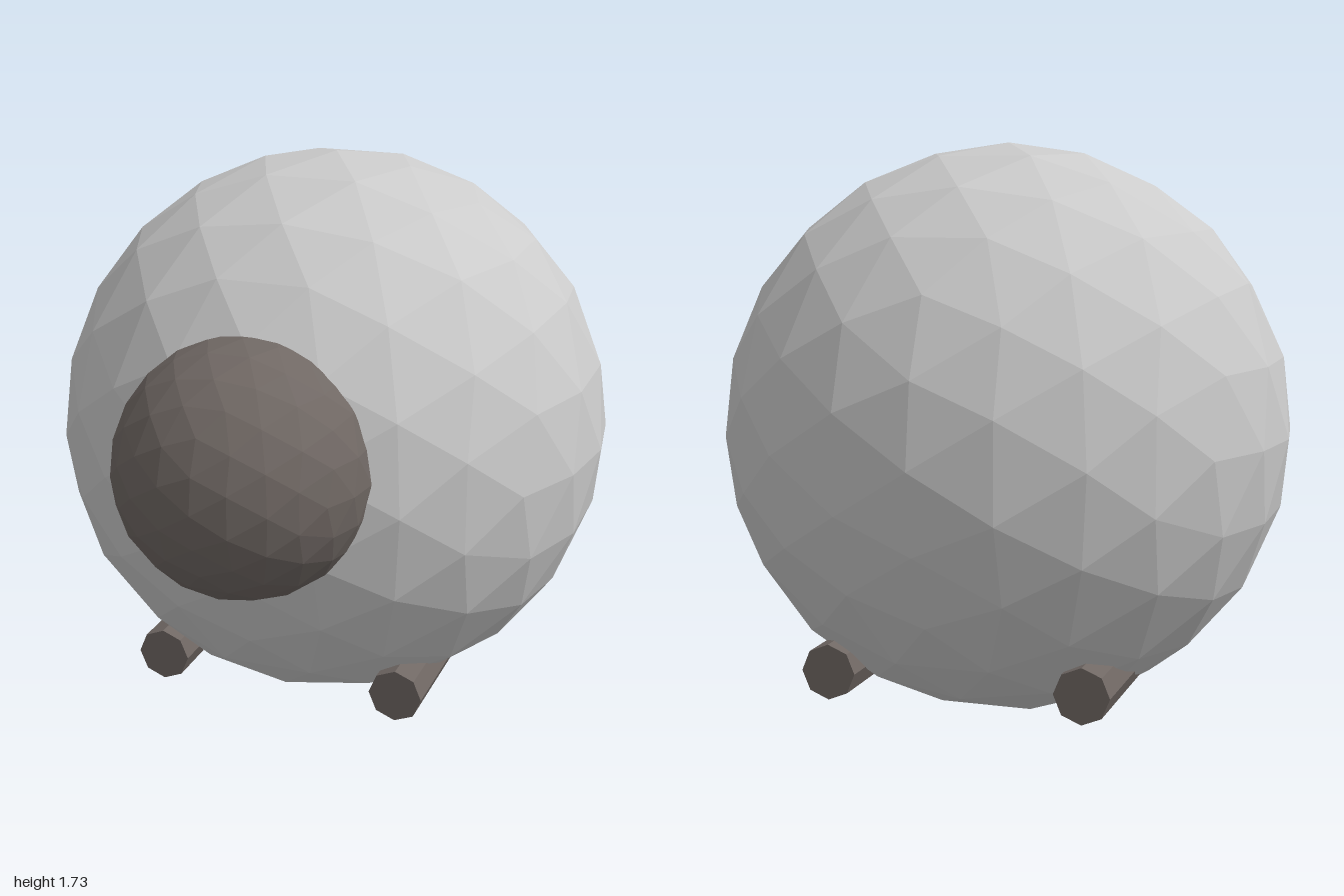
import * as THREE from 'three';

// Icosphere made by repeatedly halving every edge and pushing the midpoints out to the sphere
function icosphere(radius, levels) {
  const source = new THREE.IcosahedronGeometry(1, 0).getAttribute('position');
  let points = [];
  for (let i = 0; i < source.count; i++) points.push(new THREE.Vector3().fromBufferAttribute(source, i));
  const middle = (p, q) => p.clone().add(q).normalize();

  for (let level = 0; level < levels; level++) {
    const next = [];
    for (let i = 0; i < points.length; i += 3) {
      const [a, b, c] = points.slice(i, i + 3);
      const ab = middle(a, b), bc = middle(b, c), ca = middle(c, a);
      next.push(a, ab, ca, ab, b, bc, ca, bc, c, ab, bc, ca);
    }
    points = next;
  }

  const geometry = new THREE.BufferGeometry().setFromPoints(points);
  geometry.scale(radius, radius, radius);
  geometry.computeVertexNormals();
  return geometry;
}

export function createModel() {
  const model = new THREE.Group();
  const wool = new THREE.MeshStandardMaterial({ color: 0xcccccc, flatShading: true });
  const dark = new THREE.MeshStandardMaterial({ color: 0x706864, flatShading: true });

  const add = (name, geometry, material, x, y, z) => {
    const mesh = new THREE.Mesh(geometry, material);
    mesh.name = name;
    mesh.position.set(x, y, z);
    model.add(mesh);
  };

  // Round faceted body with a smaller head set into its front
  add('body', icosphere(0.867, 2), wool, 0, 0.868, -0.133);
  add('head', icosphere(0.38, 2), dark, 0, 0.97, 0.62);

  // Eight-sided bars through the underside, their ends forming front and back feet
  const bar = new THREE.CylinderGeometry(0.083, 0.083, 1.06, 8).rotateX(Math.PI / 2);
  for (const side of [1, -1]) {
    add(side > 0 ? 'leftLegs' : 'rightLegs', bar, dark, side * 0.385, 0.196, -0.13);
  }

  return model;
}
